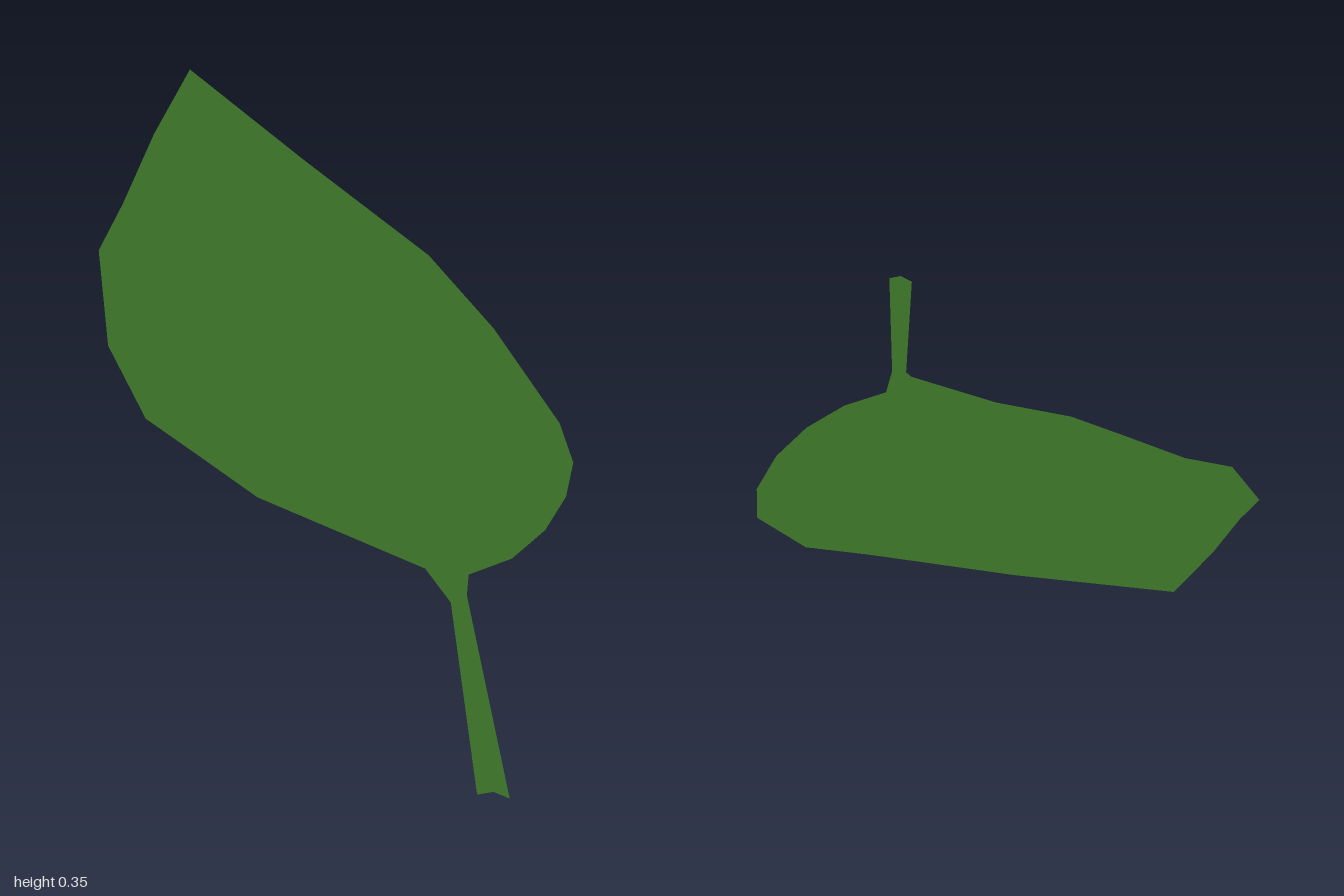
import * as THREE from 'three';

const leafGreen = new THREE.MeshStandardMaterial({ color: 0x386b24, side: THREE.DoubleSide });
leafGreen.name = 'leafGreen';

// Skins rows of [left, ridge, right] points, listed from front to back.
// One shared upward normal keeps the thin sheet evenly lit.
function ridgedSheet(name, rows) {
  const positions = rows.flat(2);
  const up = new THREE.Vector3(0.12, 1, 0.2).normalize();
  const normals = rows.flat().flatMap(() => up.toArray());
  const index = [];
  for (let i = 0; i < rows.length - 1; i++) {
    for (let j = 0; j < 2; j++) {
      const a = i * 3 + j, b = a + 1, c = a + 3, d = a + 4;
      index.push(a, b, c);
      if (i < rows.length - 2 || name !== 'leafBlade') index.push(b, d, c);
    }
  }
  const geometry = new THREE.BufferGeometry();
  geometry.setAttribute('position', new THREE.Float32BufferAttribute(positions, 3));
  geometry.setAttribute('normal', new THREE.Float32BufferAttribute(normals, 3));
  geometry.setIndex(index);
  const mesh = new THREE.Mesh(geometry, leafGreen);
  mesh.name = name;
  return mesh;
}

export function createModel() {
  const model = new THREE.Group();
  model.name = 'leaf';

  // Where the stem meets the blade
  const joint = [[0.19, 0.03, 0.39], [0.23, 0.06, 0.39], [0.265, 0.02, 0.39]];
  const tip = [-0.33, 0.35, -1];

  // Blade: raised midrib, drooping right side, rising to a pointed tip
  model.add(ridgedSheet('leafBlade', [
    joint,
    [[0.04, 0.045, 0.305], [0.17, 0.062, 0.31], [0.34, 0.016, 0.33]],
    [[-0.11, 0.06, 0.22], [0.11, 0.065, 0.23], [0.40, 0.013, 0.23]],
    [[-0.22, 0.074, 0.11], [0.055, 0.092, 0.11], [0.44, 0.009, 0.11]],
    [[-0.33, 0.087, 0], [0, 0.118, 0], [0.457, 0.003, -0.02]],
    [[-0.415, 0.15, -0.16], [-0.08, 0.155, -0.16], [0.435, 0.01, -0.15]],
    [[-0.46, 0.217, -0.42], [-0.2, 0.215, -0.42], [0.31, 0.08, -0.39]],
    [[-0.427, 0.25, -0.56], [-0.27, 0.247, -0.56], [0.18, 0.155, -0.55]],
    [[-0.385, 0.302, -0.78], [-0.32, 0.298, -0.78], [-0.08, 0.25, -0.78]],
    [tip, tip, tip],
  ]));

  // Stem: narrow ridged strip flaring into the blade
  model.add(ridgedSheet('stem', [
    [[0.28, 0.01, 0.99], [0.305, 0.02, 0.995], [0.33, 0.012, 1]],
    [[0.235, 0.015, 0.47], [0.25, 0.045, 0.47], [0.262, 0.03, 0.47]],
    joint,
  ]));

  return model;
}
